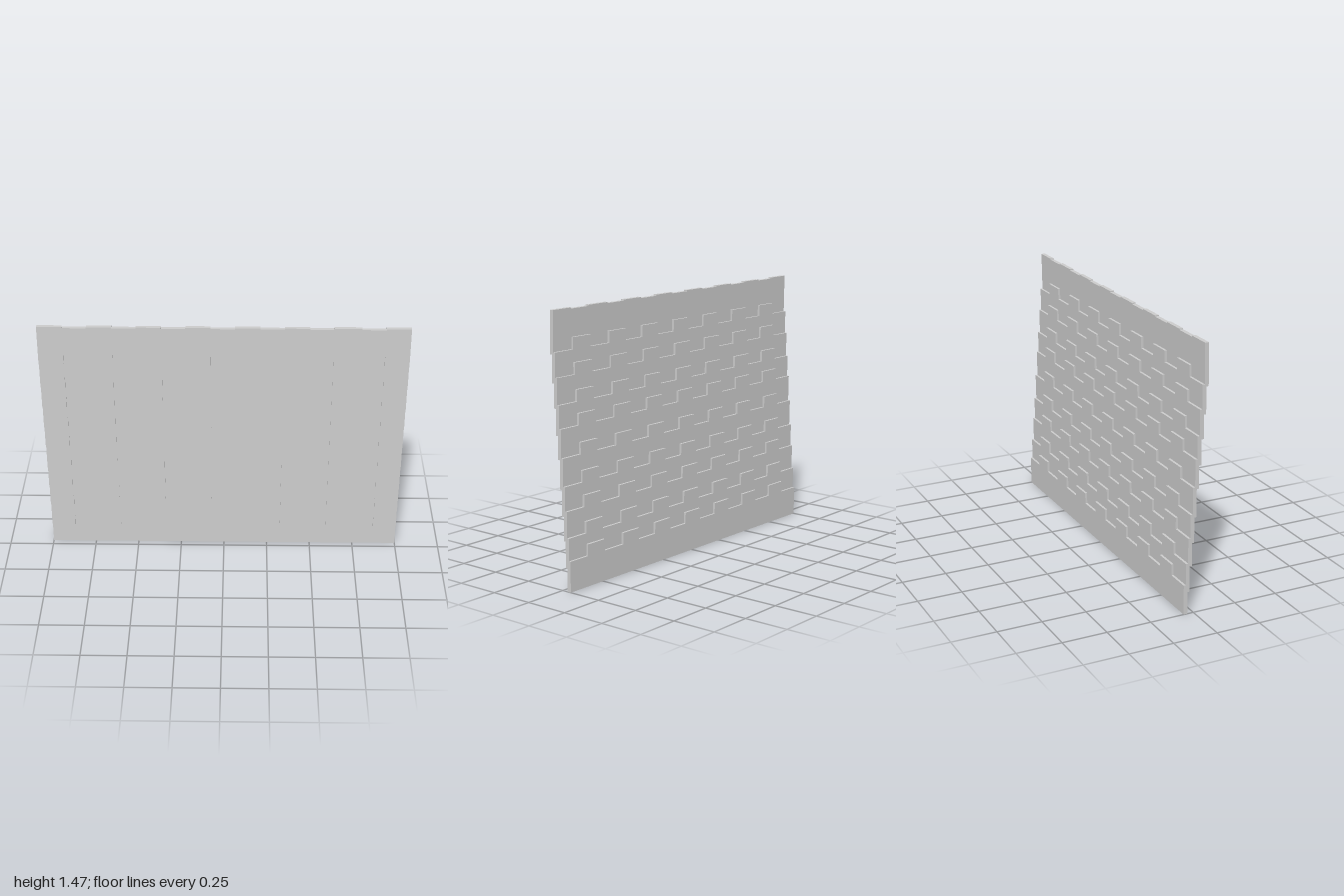
import * as THREE from 'three';

const THICK = 0.022, PITCH = 0.265, TAB = 0.13, LEAD = 0.135;
// low bottom and low top of each course of shingles, from the ground up
const BOTTOM = [0, 0.125, 0.268, 0.398, 0.54, 0.695, 0.82, 0.96, 1.09, 1.237];
const TOP = [0.167, 0.288, 0.428, 0.558, 0.706, 0.857, 0.98, 1.12, 1.25, 1.465];

// stepped edge from x0 to x1: points rise by `rise` at each tab
function steppedEdge(x0, x1, y, rise) {
  const pts = [[x0, y]];
  for (let a = x0 + LEAD; a < x1 - 0.02; a += PITCH) {
    const b = Math.min(a + TAB, x1);
    pts.push([a, y], [a, y + rise], [b, y + rise], [b, y]);
  }
  pts.push([x1, y]);
  return pts.map(([x, h]) => new THREE.Vector2(x, h));
}

export function createModel() {
  const model = new THREE.Group();
  model.name = 'shinglePanel';
  const material = new THREE.MeshStandardMaterial({ color: 0xcccccc, flatShading: true });

  BOTTOM.forEach((y, i) => {
    const course = new THREE.Group();
    course.name = `shingleCourse${i + 1}`;
    const height = TOP[i] - y;
    // straight foot on the lowest course, almost straight top on the highest
    const footRise = i === 0 ? 0 : 0.063;
    const headRise = i === BOTTOM.length - 1 ? -0.006 : 0.063;

    // long section and short end section, meeting in a vertical seam
    [[-1, 0.602, 'longSection'], [0.602, 1, 'shortSection']].forEach(([x0, x1, name]) => {
      const foot = footRise ? steppedEdge(x0, x1, 0, footRise)
        : [new THREE.Vector2(x0, 0), new THREE.Vector2(x1, 0)];
      const head = steppedEdge(x0, x1, height, headRise).reverse();
      const geometry = new THREE.ExtrudeGeometry(new THREE.Shape([...foot, ...head]),
        { depth: THICK, bevelEnabled: false });
      geometry.translate(0, 0, -THICK);
      const mesh = new THREE.Mesh(geometry, material);
      mesh.name = name;
      course.add(mesh);
    });

    // each course steps forward over the one below and leans back slightly
    course.position.set(0, y, -0.035 + i * 0.0106);
    course.rotation.x = -0.015;
    model.add(course);
  });
  return model;
}
